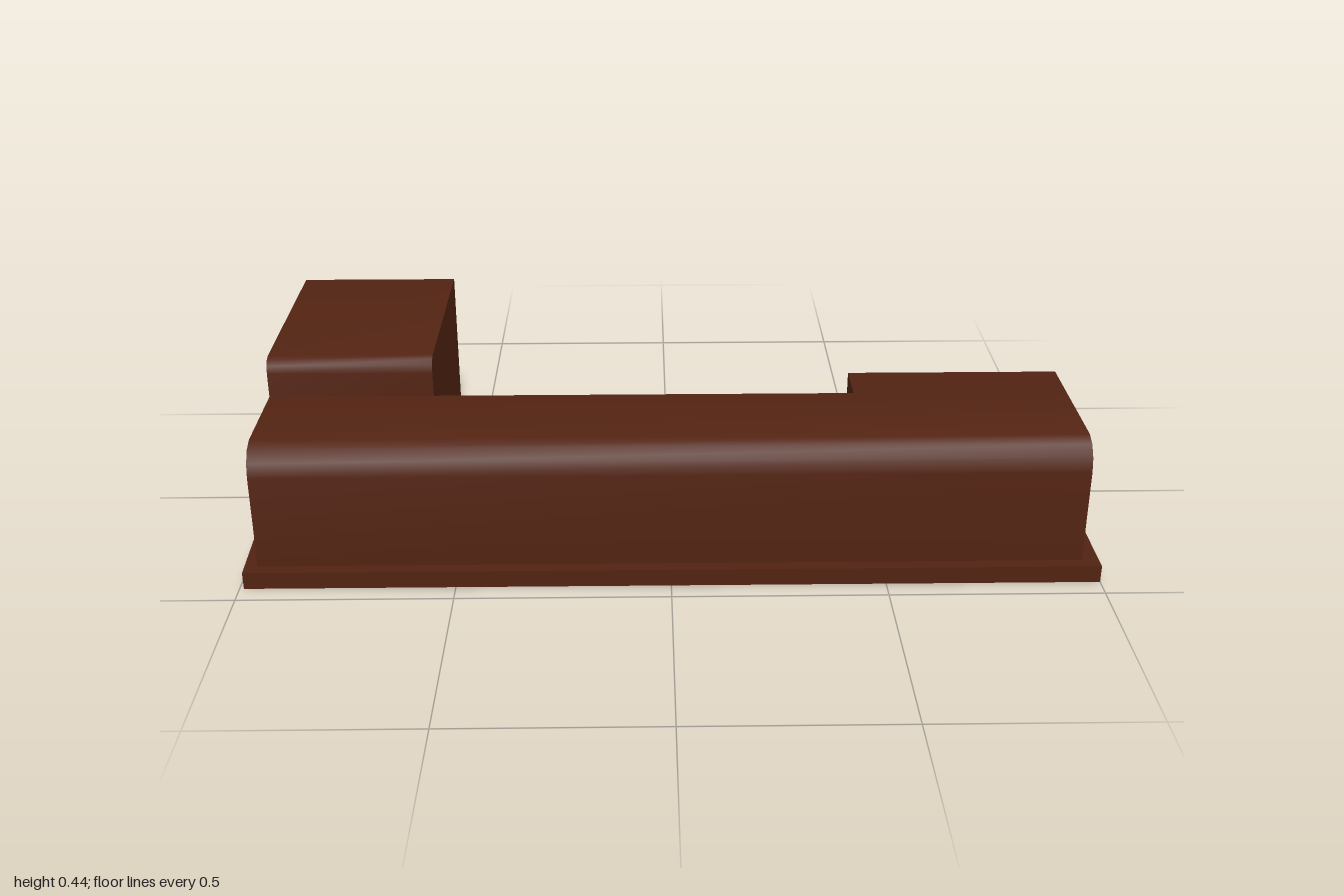
import * as THREE from 'three';
import { toCreasedNormals } from 'three/addons/utils/BufferGeometryUtils.js';

const BASE_TOP = 0.042;

export function createModel() {
  const model = new THREE.Group();
  model.name = 'counter';
  const wood = new THREE.MeshStandardMaterial({ color: 0x522312 });

  const add = (name, geometry) => {
    const mesh = new THREE.Mesh(toCreasedNormals(geometry, 0.6), wood);
    mesh.name = name;
    model.add(mesh);
  };
  const extrude = (points, depth) => new THREE.ExtrudeGeometry(
    new THREE.Shape(points.map(([x, y]) => new THREE.Vector2(x, y))),
    { depth, bevelEnabled: false });

  // Extrudes a [z, y] side profile along x
  const alongX = (name, x0, x1, profile) =>
    add(name, extrude(profile, x1 - x0).rotateY(-Math.PI / 2).translate(x1, 0, 0));

  // Plinth: outline as [x, z], slightly bowed at the left end
  const outline = [
    [-0.99, 0.45], [1, 0.45], [1, -0.02], [0.415, -0.02], [0.415, 0.1], [-0.53, 0.1],
    [-0.54, -0.44], [-0.68, -0.45], [-0.8, -0.455], [-0.99, -0.44], [-1, 0.15],
  ];
  add('plinth', extrude(outline.map(([x, z]) => [x, -z]), BASE_TOP).rotateX(-Math.PI / 2));

  // Long front bar with a rounded top front edge
  alongX('frontBar', -0.96, 0.96, [
    [0.13, BASE_TOP], [0.42, BASE_TOP], [0.42, 0.272], [0.413, 0.305],
    [0.392, 0.331], [0.363, 0.342], [0.13, 0.342],
  ]);

  // Short return behind the other end of the bar
  alongX('shortReturn', 0.445, 0.96, [
    [0.01, BASE_TOP], [0.13, BASE_TOP], [0.13, 0.342], [0.01, 0.342],
  ]);

  // Taller return with its own rounded front edge
  alongX('tallReturn', -0.96, -0.566, [
    [-0.41, BASE_TOP], [0.13, BASE_TOP], [0.13, 0.402], [0.126, 0.42],
    [0.116, 0.432], [0.1, 0.437], [-0.41, 0.437],
  ]);

  return model;
}
